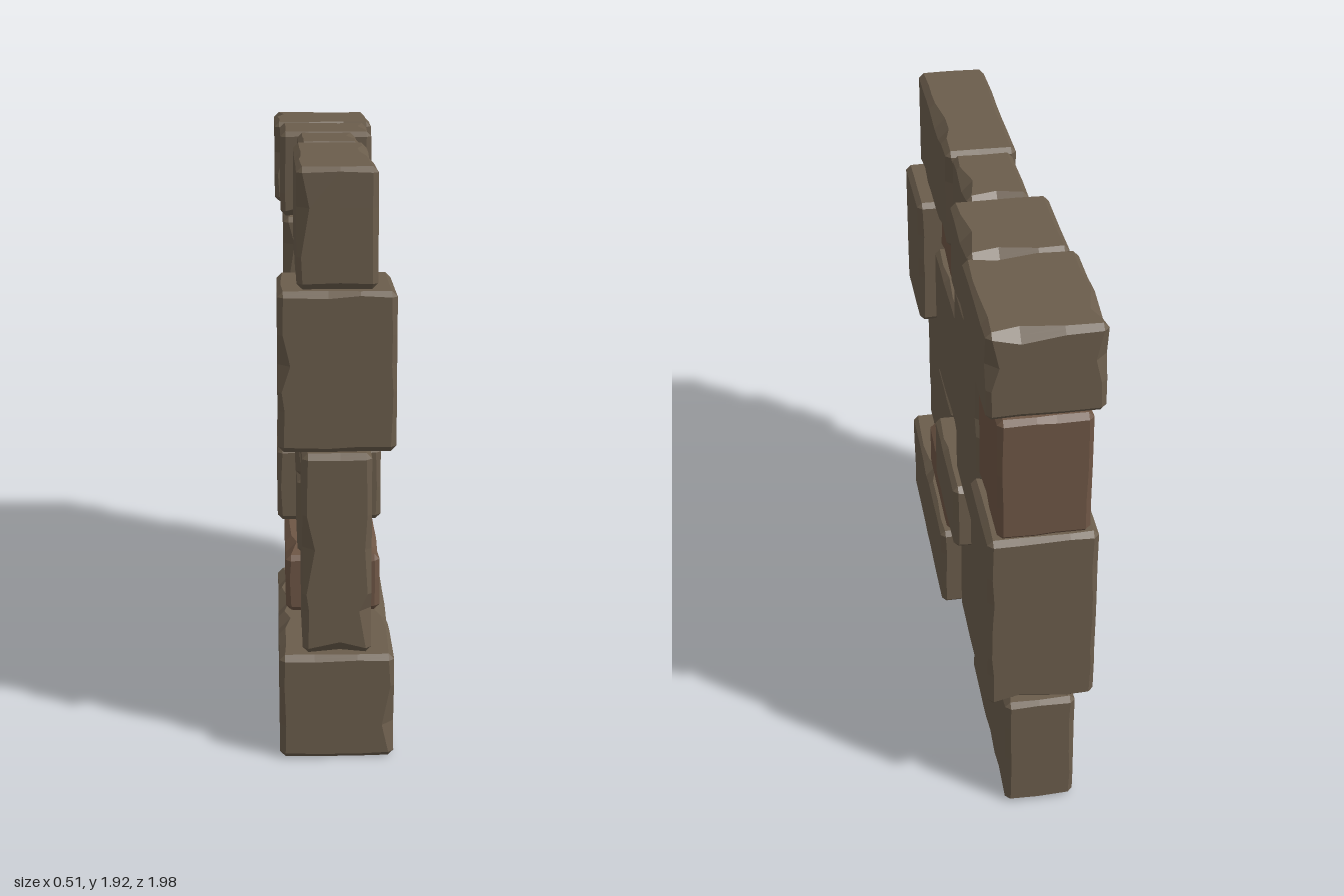
import * as THREE from 'three';

const CHAMFER = 0.018;
const GAP = 0.006;

// Repeatable pseudo-random value in 0..1 from a few integers
function hash(...keys) {
  let h = 17;
  for (const k of keys) {
    h = Math.imul(h ^ (k + 101), 0x5bd1e995);
    h ^= h >>> 13;
  }
  return ((Math.imul(h, 0x27d4eb2d) ^ (h >>> 15)) >>> 0) / 4294967296;
}

// Stone with flat faces, uneven chamfers and a few chipped edges
function stoneGeometry(size, seed) {
  const n = size.map(s => Math.max(3, Math.round(s / 0.11) + 2));
  const geo = new THREE.BoxGeometry(1, 1, 1, ...n);
  const pos = geo.attributes.position;

  // Grid line position along one axis: chamfer lines at the ends, uneven between
  const line = (a, i) => {
    const h = size[a] / 2;
    if (i === 0) return -h;
    if (i === n[a]) return h;
    const span = size[a] - 2 * CHAMFER;
    const end = i === 1 || i === n[a] - 1;
    const shift = end ? 0 : (hash(seed, a, i) - 0.5) * 0.6;
    return -h + CHAMFER + span * (i - 1 + shift) / (n[a] - 2);
  };

  // Chamfer width on the edge between axes a and b, at step m along it
  const chamfer = (a, sa, b, sb, m) => {
    const c = 3 - a - b;
    if (m <= 1 || m >= n[c] - 1) return CHAMFER;
    const edge = c * 4 + (a < b ? sa * 2 + sb : sb * 2 + sa) + 8;
    const r = hash(seed, edge, m, 7);
    return CHAMFER * (r > 0.87 ? 2.2 : 0.65 + r * 0.7);
  };

  for (let v = 0; v < pos.count; v++) {
    const id = [0, 1, 2].map(a => Math.round((pos.getComponent(v, a) + 0.5) * n[a]));
    const p = id.map((i, a) => line(a, i));
    const sign = id.map((i, a) => (i * 2 < n[a] ? -1 : 1));
    const outer = [0, 1, 2].filter(a => id[a] === 0 || id[a] === n[a]);

    if (outer.length === 3) {
      // corner
      for (const a of outer) p[a] -= sign[a] * CHAMFER * 2 / 3;
    } else if (outer.length === 2) {
      // edge
      const [a, b] = outer;
      const w = chamfer(a, sign[a], b, sign[b], id[3 - a - b]);
      p[a] -= sign[a] * w / 2;
      p[b] -= sign[b] * w / 2;
    } else {
      // face border
      const f = outer[0];
      for (const a of [0, 1, 2]) {
        if (a === f || (id[a] !== 1 && id[a] !== n[a] - 1)) continue;
        const w = chamfer(f, sign[f], a, sign[a], id[3 - f - a]);
        p[a] = sign[a] * (size[a] / 2 - w);
      }
    }
    pos.setXYZ(v, ...p);
  }
  geo.computeVertexNormals();
  return geo;
}

// Each stone: start and end along the wall, bottom, top, half thickness, reddish
const STONES = [
  // bottom course
  [0.12, 0.985, 0, 0.36, 0.185],
  [-0.25, 0.12, 0, 0.565, 0.11],
  [-0.985, -0.25, 0, 0.465, 0.12],
  // lower middle
  [0.61, 0.985, 0.36, 1.03, 0.11],
  [0.12, 0.61, 0.36, 0.565, 0.16, true],
  [0.24, 0.61, 0.565, 0.84, 0.12],
  [-0.25, 0.24, 0.565, 0.84, 0.185],
  [-0.605, -0.25, 0.465, 0.84, 0.105, true],
  [-0.985, -0.605, 0.465, 1.16, 0.18],
  // upper middle
  [0.61, 0.985, 1.03, 1.545, 0.185],
  [-0.11, 0.61, 0.84, 1.365, 0.125],
  [0.24, 0.61, 1.365, 1.545, 0.1, true],
  [-0.605, -0.11, 0.84, 1.615, 0.155],
  [-0.985, -0.605, 1.16, 1.615, 0.15, true],
  // top course
  [0.24, 0.985, 1.545, 1.925, 0.125],
  [-0.11, 0.24, 1.365, 1.925, 0.105],
  [-0.5, -0.11, 1.615, 1.925, 0.165],
  [-0.985, -0.5, 1.615, 1.925, 0.185],
];

export function createModel() {
  const model = new THREE.Group();
  model.name = 'stoneWall';
  const grey = new THREE.MeshStandardMaterial({ color: 0x6b5d4c, flatShading: true });
  const red = new THREE.MeshStandardMaterial({ color: 0x6e5645, flatShading: true });

  // The whole wall stands slightly turned
  const wall = new THREE.Group();
  wall.name = 'wallBlocks';
  wall.rotation.y = -0.075;
  model.add(wall);

  STONES.forEach(([z0, z1, y0, y1, half, reddish], i) => {
    const size = [half * 2, y1 - y0 - GAP, z1 - z0 - GAP];
    const stone = new THREE.Mesh(stoneGeometry(size, i + 1), reddish ? red : grey);
    stone.name = (reddish ? 'reddishStone' : 'stone') + (i + 1);
    stone.position.set(0, (y0 + y1) / 2 - (y0 === 0 ? GAP / 2 : 0), (z0 + z1) / 2);
    wall.add(stone);
  });
  // rest the lowest stones on the ground
  wall.updateMatrixWorld(true);
  wall.position.y -= new THREE.Box3().setFromObject(wall, true).min.y;
  return model;
}
